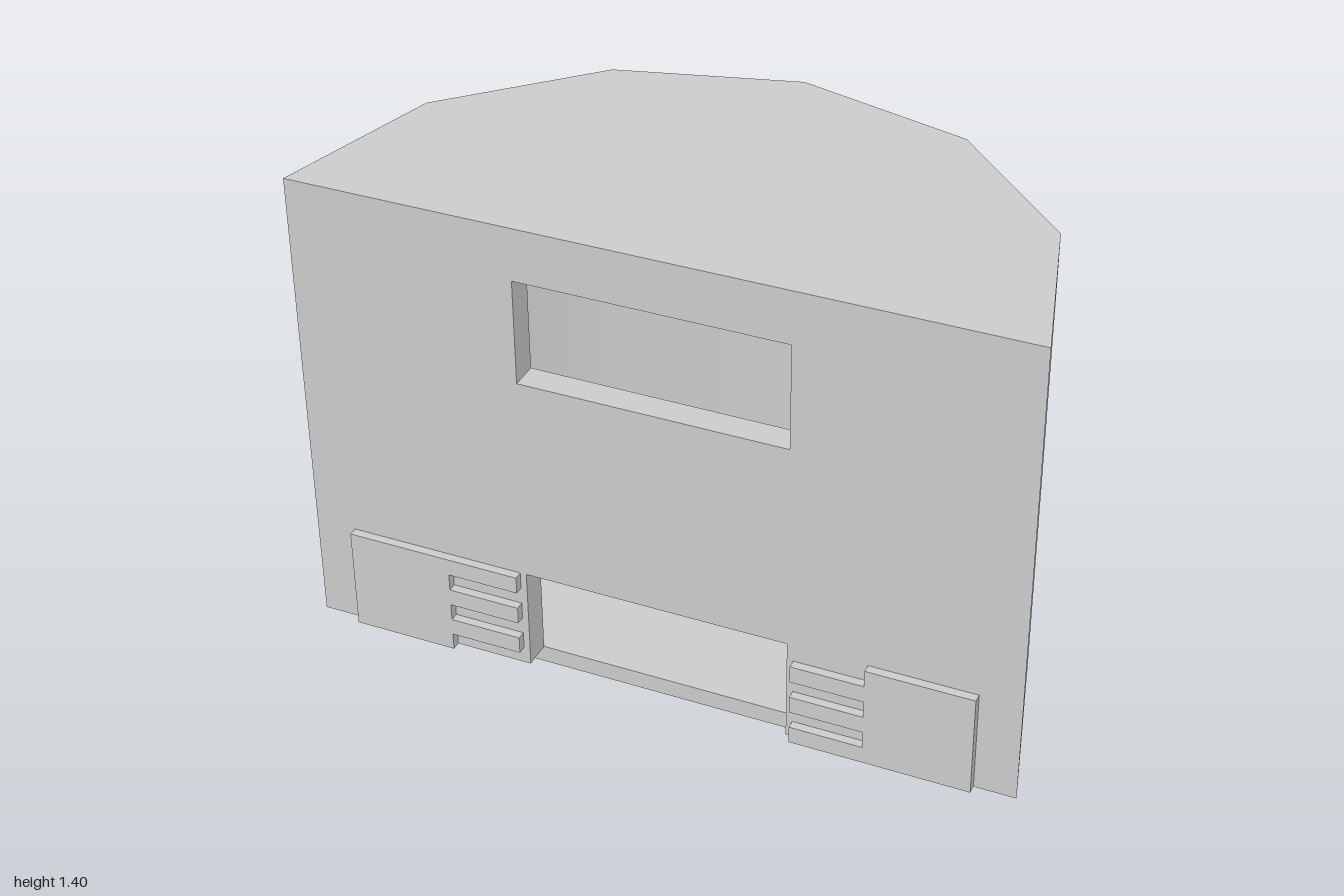
import * as THREE from 'three';

const FRONT = 0.49;   // front plane, also the centre of the curved back
const INNER = 0.41;   // rear of the front wall
const material = new THREE.MeshStandardMaterial({ color: 0xcccccc, side: THREE.DoubleSide });

// Six-sided half round footprint, cut off at zMax
function halfRound(radius, zMax) {
  const points = [];
  for (let i = 0; i <= 6; i++) {
    const a = Math.PI * i / 6;
    const z = Math.min(FRONT - radius * Math.sin(a), zMax);
    points.push(new THREE.Vector2(radius * Math.cos(a), -z));
  }
  return new THREE.Shape(points);
}

// Smooth curved wall over the same footprint
function curvedWall(radius, y0, y1, zMax) {
  const profile = [new THREE.Vector2(radius, y0), new THREE.Vector2(radius, y1)];
  const geometry = new THREE.LatheGeometry(profile, 6, Math.PI / 2, Math.PI);
  geometry.translate(0, 0, FRONT);
  const pos = geometry.attributes.position;
  for (let i = 0; i < pos.count; i++) pos.setZ(i, Math.min(pos.getZ(i), zMax));
  return geometry;
}

function flatPlate(shape, y) {
  return new THREE.ShapeGeometry(shape).rotateX(-Math.PI / 2).translate(0, y, 0);
}

function polygon(pairs) {
  return new THREE.Shape(pairs.map(([x, y]) => new THREE.Vector2(x, y)));
}

// Front wall with a doorway notch and a window, tapering inward at its ends
function frontWall() {
  const shape = polygon([
    [-1, 0.05], [-0.37, 0.05], [-0.37, 0.35], [0.37, 0.35],
    [0.37, 0.05], [1, 0.05], [1, 1.4], [-1, 1.4],
  ]);
  shape.holes.push(polygon([[-0.37, 0.95], [-0.37, 1.25], [0.37, 1.25], [0.37, 0.95]]));
  const geometry = new THREE.ExtrudeGeometry(shape, { depth: FRONT - INNER, bevelEnabled: false });
  geometry.translate(0, 0, INNER);
  const pos = geometry.attributes.position;
  for (let i = 0; i < pos.count; i++) {
    if (pos.getZ(i) < FRONT - 0.01) pos.setX(i, THREE.MathUtils.clamp(pos.getX(i), -0.9, 0.9));
  }
  geometry.computeVertexNormals();
  return geometry;
}

// Plate with three fingers on its inner edge; startOut sets whether the top step sticks out
function fingerPlate(side, startOut) {
  const pairs = [[0.885, 0.05], [0.885, 0.35]];
  for (let i = 0; i < 6; i++) {
    const x = (i % 2 === 0) === startOut ? 0.388 : 0.59;
    pairs.push([x, 0.35 - i * 0.05], [x, 0.3 - i * 0.05]);
  }
  const shape = polygon(pairs.map(([x, y]) => [x * side, y]));
  return new THREE.ExtrudeGeometry(shape, { depth: 0.025, bevelEnabled: false }).translate(0, 0, FRONT);
}

export function createModel() {
  const group = new THREE.Group();
  const add = (name, geometry) => {
    const mesh = new THREE.Mesh(geometry, material);
    mesh.name = name;
    group.add(mesh);
  };

  // Outer shell
  add('curvedBackWall', curvedWall(1, 0.05, 1.4, FRONT));
  add('roof', flatPlate(halfRound(1, FRONT), 1.4));
  add('frontWall', frontWall());

  // Hollow interior
  add('innerWall', curvedWall(0.9, 0.05, 1.32, INNER));
  add('ceiling', flatPlate(halfRound(0.9, INNER), 1.32));

  // Base slab, set in from the shell
  const base = new THREE.ExtrudeGeometry(halfRound(0.9, INNER), { depth: 0.05, bevelEnabled: false });
  add('base', base.rotateX(-Math.PI / 2));

  // Fingered plates beside the doorway
  add('rightFingerPlate', fingerPlate(-1, true));
  add('leftFingerPlate', fingerPlate(1, false));
  return group;
}
